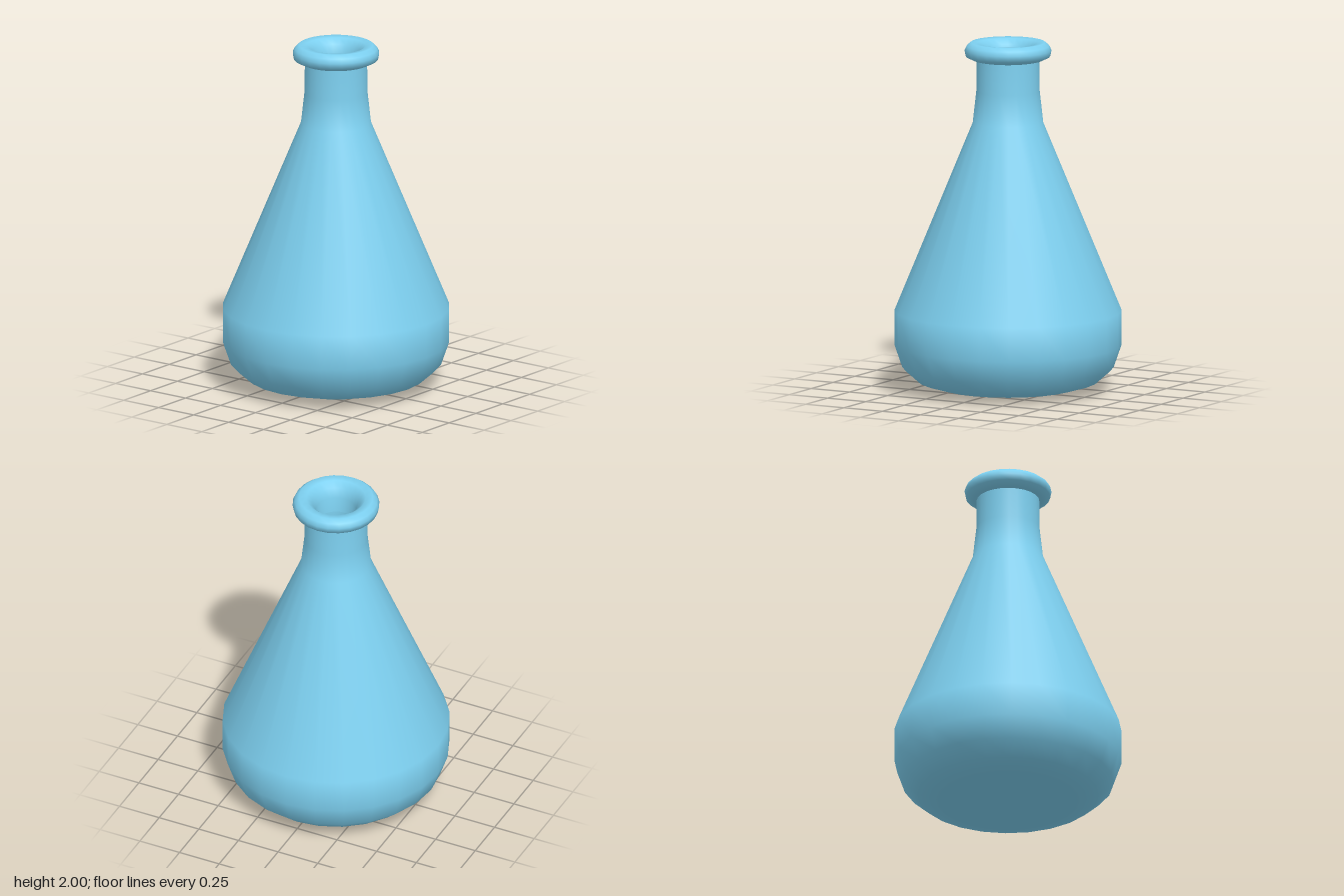
import * as THREE from 'three';

const SIDES = 24;

// Revolve a list of [radius, height] pairs around the y axis
function revolve(name, profile, material) {
  const points = profile.map(([r, y]) => new THREE.Vector2(r, y));
  const mesh = new THREE.Mesh(new THREE.LatheGeometry(points, SIDES), material);
  mesh.name = name;
  return mesh;
}

export function createModel() {
  const glass = new THREE.MeshStandardMaterial({ color: 0x7dd0f0 });
  const flask = new THREE.Group();
  flask.name = 'flask';

  // Outer wall: shallow base, rounded heel, straight cone, slim neck
  flask.add(revolve('body', [
    [0, 0], [0.39, 0.02], [0.51, 0.055], [0.6, 0.135], [0.645, 0.265],
    [0.645, 0.46], [0.2, 1.54], [0.18, 1.72], [0.178, 1.92],
  ], glass));

  // Rounded rim rolling over into the mouth
  flask.add(revolve('rim', [
    [0.175, 1.895], [0.2, 1.9], [0.24, 1.92], [0.247, 1.955], [0.235, 1.98],
    [0.21, 2], [0.168, 1.995], [0.135, 1.965], [0.115, 1.91], [0.107, 1.82],
  ], glass));

  // Inner wall, running from the mouth down to the inside floor
  flask.add(revolve('innerWall', [
    [0.107, 1.82], [0.107, 1.72], [0.13, 1.54], [0.57, 0.46],
    [0.57, 0.27], [0.5, 0.15], [0.38, 0.09], [0, 0.08],
  ], glass));

  return flask;
}
